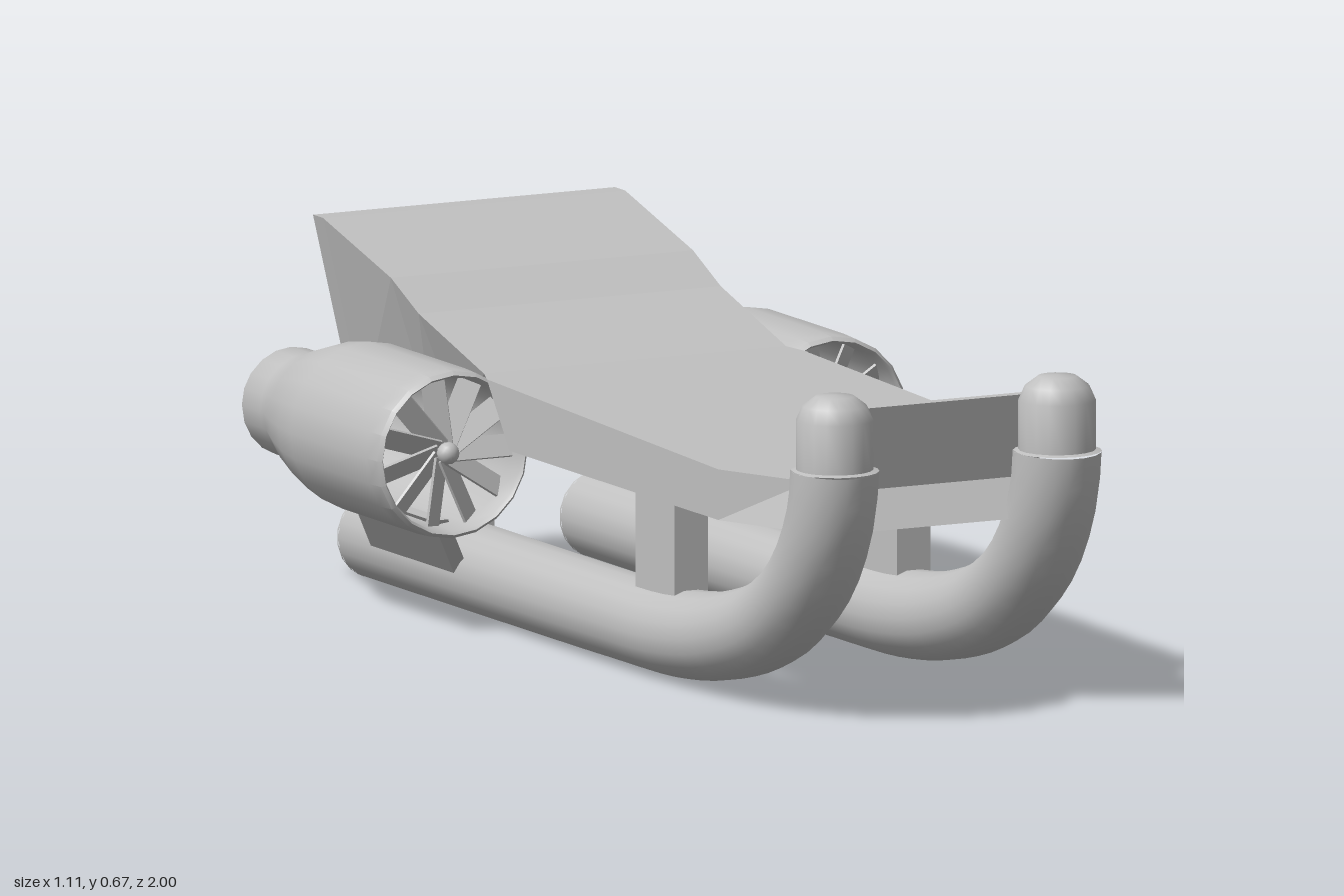
import * as THREE from 'three';
import { toCreasedNormals } from 'three/addons/utils/BufferGeometryUtils.js';

const grey = new THREE.MeshStandardMaterial({ color: 0xc0c0c0 });
grey.name = 'plain grey';

function add(parent, name, geometry) {
  const mesh = new THREE.Mesh(geometry, grey);
  mesh.name = name;
  parent.add(mesh);
  return mesh;
}

function lathe(profile, sides = 18) {
  const points = profile.map(([r, y]) => new THREE.Vector2(r, y));
  return toCreasedNormals(new THREE.LatheGeometry(points, sides), 0.7);
}

// Joins four-cornered rings, ordered front to back, into a closed flat-shaded solid
function loft(rings) {
  const out = [];
  const quad = (a, b, c, d) => out.push(...a, ...b, ...c, ...a, ...c, ...d);
  quad(...rings[0]);
  for (let k = 0; k < rings.length - 1; k++) {
    const A = rings[k], B = rings[k + 1];
    for (let i = 0; i < 4; i++) {
      const j = (i + 1) % 4;
      quad(A[i], B[i], B[j], A[j]);
    }
  }
  quad(...rings[rings.length - 1].slice().reverse());
  const g = new THREE.BufferGeometry();
  g.setAttribute('position', new THREE.Float32BufferAttribute(out, 3));
  g.computeVertexNormals();
  return g;
}

// Deck and backrest: top z, top y, top half width, bottom z, bottom y, bottom half width
function bodyGeometry() {
  return loft([
    [0.81, 0.45, 0.23, 0.88, 0.36, 0.23],
    [0.64, 0.455, 0.33, 0.64, 0.36, 0.33],
    [-0.28, 0.48, 0.33, -0.19, 0.36, 0.33],
    [-0.32, 0.483, 0.315, -0.3, 0.36, 0.23],
    [-0.58, 0.555, 0.315, -0.58, 0.345, 0.23],
    [-0.69, 0.605, 0.315, -0.69, 0.337, 0.23],
    [-0.96, 0.675, 0.315, -0.96, 0.312, 0.23],
    [-1, 0.675, 0.315, -1, 0.31, 0.23],
  ].map(([zt, yt, wt, zb, yb, wb]) => [
    [wt, yt, zt], [-wt, yt, zt], [-wb, yb, zb], [wb, yb, zb],
  ]));
}

// Front board, leaning slightly forward
function boardGeometry() {
  const ring = (bottomZ, topZ) => [
    [0.235, 0.588, topZ], [-0.235, 0.588, topZ], [-0.235, 0.43, bottomZ], [0.235, 0.43, bottomZ],
  ];
  return loft([ring(0.835, 0.862), ring(0.812, 0.84)]);
}

const RUNNER_X = 0.232;

function runner(side) {
  const group = new THREE.Group();
  group.name = 'runner';
  group.position.x = side * RUNNER_X;
  const path = new THREE.CatmullRomCurve3([
    [0.085, -0.9], [0.085, -0.3], [0.086, 0.1], [0.09, 0.32], [0.117, 0.515],
    [0.175, 0.69], [0.27, 0.82], [0.375, 0.89], [0.46, 0.914], [0.49, 0.916],
  ].map(([y, z]) => new THREE.Vector3(0, y, z)));
  add(group, 'runnerTube', new THREE.TubeGeometry(path, 40, 0.083, 18));
  const end = add(group, 'runnerEnd', lathe([[0.083, 0], [0.083, 0.005], [0.077, 0.012], [0, 0.012]]));
  end.rotation.x = -Math.PI / 2;
  end.position.set(0, 0.085, -0.9);
  const tip = add(group, 'runnerTip', lathe([
    [0.083, 0], [0.072, 0.003], [0.072, 0.095], [0.06, 0.122], [0.036, 0.14], [0, 0.142],
  ]));
  tip.position.set(0, 0.488, 0.916);
  // Upright posts between runner and deck
  for (const [z, top] of [[0.268, 0.37], [-0.58, 0.36]]) {
    const post = add(group, 'post', new THREE.BoxGeometry(0.07, top - 0.12, 0.155));
    post.position.set(0, (top + 0.12) / 2, z);
  }
  return group;
}

function engine(side) {
  const group = new THREE.Group();
  group.name = 'engine';
  group.position.set(side * 0.395, 0.342, -0.285);
  group.rotation.x = -Math.PI / 2;
  // Hollow shell: outside front to back, then inside back to front
  add(group, 'engineShell', lathe([
    [0.145, 0.008], [0.15, 0], [0.157, 0.008], [0.159, 0.05], [0.159, 0.35], [0.148, 0.42],
    [0.125, 0.5], [0.104, 0.56], [0.102, 0.58], [0.102, 0.65], [0.096, 0.662], [0.08, 0.662],
    [0.073, 0.65], [0.07, 0.56], [0.138, 0.35], [0.142, 0.05], [0.145, 0.008],
  ], 20));
  add(group, 'fanHub', new THREE.SphereGeometry(0.021, 14, 10)).position.y = 0.025;
  const shaft = add(group, 'fanShaft', new THREE.CylinderGeometry(0.014, 0.014, 0.06, 10));
  shaft.position.y = 0.055;
  // Pitched fan blades
  const blades = 11;
  for (let i = 0; i < blades; i++) {
    const arm = new THREE.Group();
    arm.name = 'bladeArm';
    arm.rotation.y = (i / blades) * Math.PI * 2;
    arm.position.y = 0.05;
    const blade = add(arm, 'fanBlade', new THREE.BoxGeometry(0.128, 0.005, 0.045));
    blade.position.x = 0.076;
    blade.rotation.x = side * 0.6;
    group.add(arm);
  }
  return group;
}

// Swept plate carrying the engine on the runner
function bracketGeometry(side) {
  const g = new THREE.BoxGeometry(0.032, 1, 0.33).toNonIndexed();
  const p = g.attributes.position;
  for (let i = 0; i < p.count; i++) {
    const t = p.getY(i) + 0.5;
    p.setXYZ(i, p.getX(i) + side * (0.275 + 0.115 * t), 0.06 + 0.15 * t, p.getZ(i) - 0.63 + 0.115 * t);
  }
  g.computeVertexNormals();
  return g;
}

export function createModel() {
  const model = new THREE.Group();
  model.name = 'jetSled';
  add(model, 'deckAndBackrest', bodyGeometry());
  add(model, 'frontBoard', boardGeometry());
  for (const side of [1, -1]) {
    model.add(runner(side), engine(side));
    add(model, 'engineBracket', bracketGeometry(side));
  }
  return model;
}
